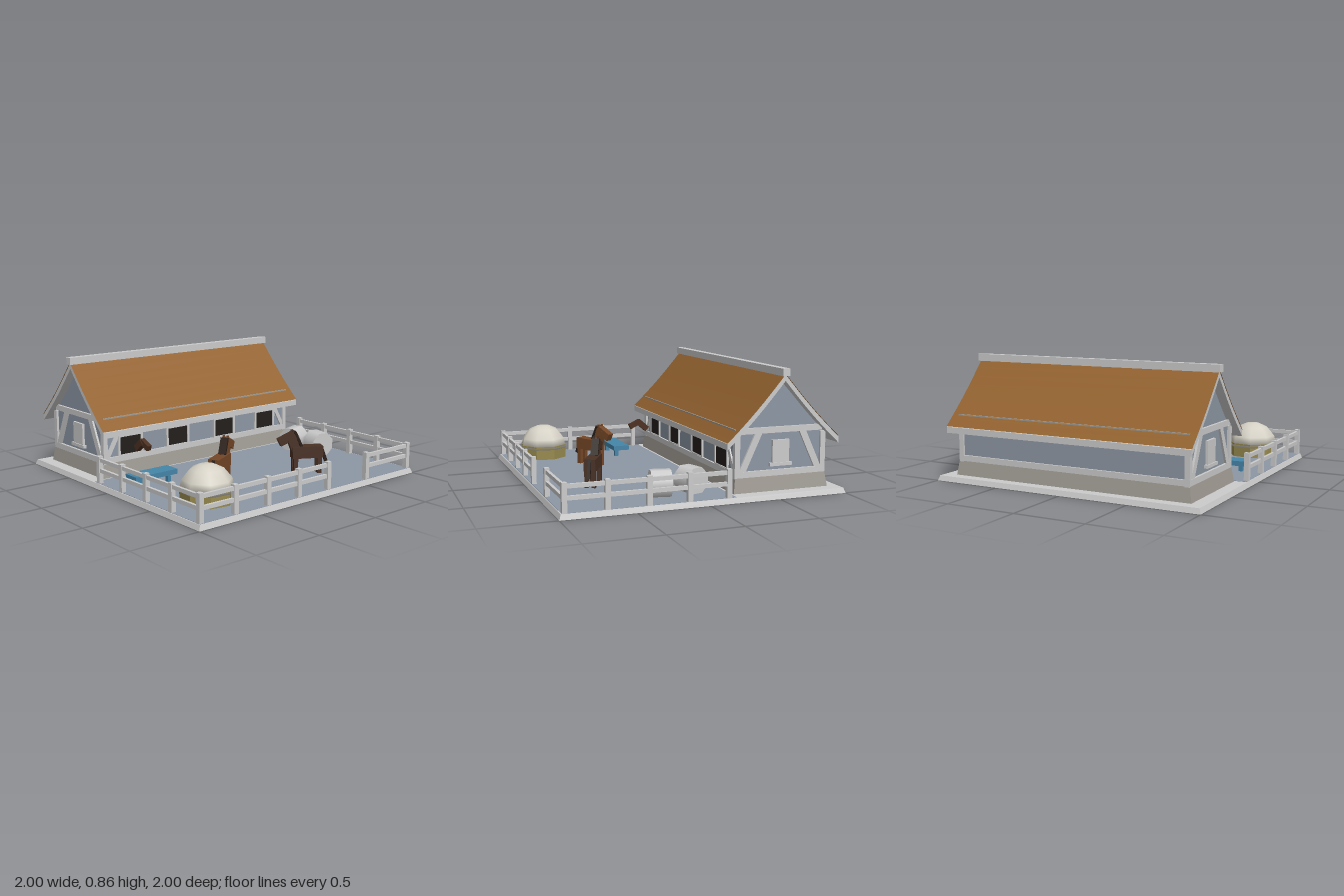
import * as THREE from 'three';

const material = (color, extra = {}) => new THREE.MeshStandardMaterial({ color, ...extra });
const GREY = material(0xcccccc);
const STONE = material(0xa19c95);
const PLASTER = material(0x8d97a4);
const THATCH = material(0x946330, { side: THREE.DoubleSide });
const DARK = material(0x241f1c);
const WATER = material(0x4585a8);
const STRAW = material(0x9a8c50, { flatShading: true });
const COVER = material(0xd6d2c6);
const RIDGE_Z = -0.56;

function add(parent, name, geometry, mat, x = 0, y = 0, z = 0) {
  const mesh = new THREE.Mesh(geometry, mat);
  mesh.name = name;
  mesh.position.set(x, y, z);
  parent.add(mesh);
  return mesh;
}

function box(parent, name, size, pos, mat = GREY) {
  return add(parent, name, new THREE.BoxGeometry(...size), mat, ...pos);
}

// Box running from a to b, w wide along x and d deep along z
function beam(parent, name, a, b, w, d, mat = GREY) {
  const start = new THREE.Vector3(...a);
  const dir = new THREE.Vector3(...b).sub(start);
  const mesh = box(parent, name, [w, dir.length(), d], [0, 0, 0], mat);
  mesh.position.copy(start).addScaledVector(dir, 0.5);
  mesh.quaternion.setFromUnitVectors(new THREE.Vector3(0, 1, 0), dir.normalize());
  return mesh;
}

// Box whose top is drawn in by inset on every side
function taperedBox(w, h, d, inset) {
  const g = new THREE.BoxGeometry(w, h, d);
  const p = g.attributes.position;
  for (let i = 0; i < p.count; i++) {
    if (p.getY(i) > 0) {
      p.setX(i, p.getX(i) - Math.sign(p.getX(i)) * inset);
      p.setZ(i, p.getZ(i) - Math.sign(p.getZ(i)) * inset);
    }
  }
  g.computeVertexNormals();
  return g;
}

// Outline in (z, y) stretched along x
function crossSection(points, length) {
  const shape = new THREE.Shape(points.map(([z, y]) => new THREE.Vector2(z, y)));
  const g = new THREE.ExtrudeGeometry(shape, { depth: length, bevelEnabled: false });
  return g.translate(0, 0, -length / 2).rotateY(-Math.PI / 2);
}

// Roof height at distance d from the ridge, slightly hollow
const roofY = (d) => 0.819 - 1.055 * d - 0.015 * Math.sin((d / 0.415) * Math.PI);

function buildRoof() {
  const roof = new THREE.Group();
  roof.name = 'roof';
  roof.position.z = RIDGE_Z;
  const steps = Array.from({ length: 9 }, (_, i) => (i / 8) * 0.415);
  const right = steps.map((d) => [d, roofY(d)]);
  const left = steps.slice(1).reverse().map((d) => [-d, roofY(d)]);
  const upper = [...left, ...right];
  const lower = upper.map(([z, y]) => [z, y - 0.042]).reverse();
  add(roof, 'roofBoards', crossSection([...upper, ...lower], 1.855), GREY);

  for (const side of [1, -1]) {
    // Thatch sheet over each slope
    const sheet = new THREE.PlaneGeometry(1.86, 1, 1, 8);
    const p = sheet.attributes.position;
    for (let i = 0; i < p.count; i++) {
      const d = (0.5 - p.getY(i)) * 0.415;
      p.setXYZ(i, p.getX(i), roofY(d) + 0.004, d);
    }
    sheet.computeVertexNormals();
    add(roof, 'thatch', sheet, THATCH).rotation.y = side > 0 ? 0 : Math.PI;
    box(roof, 'thatchPole', [1.76, 0.01, 0.01], [0, roofY(0.337) + 0.004, side * 0.337], STONE);
  }
  box(roof, 'ridgeCap', [1.885, 0.05, 0.052], [0, 0.835, 0]);
  return roof;
}

function buildStable() {
  const stable = new THREE.Group();
  stable.name = 'stable';
  stable.position.z = RIDGE_Z;
  add(stable, 'plinth', taperedBox(1.8, 0.105, 0.706, 0.015), STONE, 0, 0.0825, 0);
  const wall = [[-0.325, 0.13], [0.325, 0.13], [0.325, 0.42], [0, 0.77], [-0.325, 0.42]];
  add(stable, 'walls', crossSection(wall, 1.73), PLASTER);

  for (const side of [1, -1]) {
    // Long wall timbers
    box(stable, 'sillBeam', [1.765, 0.04, 0.03], [0, 0.155, side * 0.325]);
    box(stable, 'wallPlate', [1.765, 0.035, 0.03], [0, 0.395, side * 0.325]);
    // Gable timbers
    const x = side * 0.868;
    box(stable, 'gableSill', [0.03, 0.04, 0.68], [x, 0.155, 0]);
    box(stable, 'tieBeam', [0.03, 0.04, 0.62], [x, 0.447, 0]);
    box(stable, 'shutter', [0.03, 0.155, 0.125], [x, 0.3, 0]);
    box(stable, 'windowSill', [0.045, 0.022, 0.165], [x, 0.212, 0]);
    for (const end of [1, -1]) {
      box(stable, 'cornerPost', [0.035, 0.29, 0.038], [side * 0.865, 0.275, end * 0.321]);
      beam(stable, 'gableBrace', [x, 0.165, end * 0.288], [x, 0.44, end * 0.16], 0.024, 0.046);
    }
    beam(stable, 'frontBrace', [side * 0.85, 0.17, 0.325], [side * 0.72, 0.4, 0.325], 0.032, 0.022);
  }

  // Framed stall openings
  for (const x of [-0.65, -0.225, 0.225, 0.65]) {
    box(stable, 'stallOpening', [0.18, 0.13, 0.01], [x, 0.245, 0.325], DARK);
    for (const s of [1, -1]) {
      box(stable, 'openingJamb', [0.018, 0.165, 0.026], [x + s * 0.098, 0.25, 0.325]);
      box(stable, 'openingRail', [0.18, 0.018, 0.026], [x, 0.245 + s * 0.073, 0.325]);
    }
  }
  return stable;
}

// One straight run of posts with two rails, along x or z
function buildFence(posts) {
  const fence = new THREE.Group();
  fence.name = 'fence';
  for (const [x, z] of posts) box(fence, 'fencePost', [0.034, 0.195, 0.034], [x, 0.13, z]);
  const [a, b] = [posts[0], posts[posts.length - 1]];
  for (const y of [0.128, 0.203]) {
    const size = [Math.abs(b[0] - a[0]) || 0.02, 0.027, Math.abs(b[1] - a[1]) || 0.02];
    box(fence, 'fenceRail', size, [(a[0] + b[0]) / 2, y, (a[1] + b[1]) / 2]);
  }
  return fence;
}

// Horse facing its local +x
function buildHorse(color, x, z, turn) {
  const horse = new THREE.Group();
  horse.name = 'horse';
  horse.position.set(x, 0, z);
  horse.rotation.y = turn;
  const coat = material(color);
  const mane = material(0x2a1e18);
  box(horse, 'body', [0.225, 0.085, 0.08], [0, 0.193, 0], coat);
  for (const lx of [-0.088, 0.088]) {
    for (const lz of [-0.025, 0.025]) box(horse, 'leg', [0.032, 0.125, 0.028], [lx, 0.0925, lz], coat);
  }
  beam(horse, 'neck', [0.075, 0.19, 0], [0.125, 0.32, 0], 0.065, 0.05, coat);
  beam(horse, 'mane', [0.042, 0.235, 0], [0.092, 0.342, 0], 0.018, 0.054, mane);
  beam(horse, 'head', [0.095, 0.322, 0], [0.207, 0.267, 0], 0.056, 0.048, coat);
  for (const ez of [-0.015, 0.015]) box(horse, 'ear', [0.014, 0.026, 0.012], [0.108, 0.342, ez], coat);
  beam(horse, 'tail', [-0.105, 0.23, 0], [-0.147, 0.11, 0], 0.022, 0.022, mane);
  return horse;
}

export function createModel() {
  const model = new THREE.Group();
  model.name = 'horseStable';
  add(model, 'base', taperedBox(2, 0.035, 2, 0.012), GREY, 0, 0.0175, 0);
  box(model, 'paddockGround', [1.96, 0.004, 1.17], [0, 0.035, 0.395], PLASTER);
  model.add(buildStable(), buildRoof());

  // Paddock fence with a gap at the front
  const zs = [-0.14, 0.135, 0.41, 0.685, 0.962];
  const xs = [-0.967, -0.69, -0.415, -0.14, 0.137];
  for (const side of [1, -1]) model.add(buildFence(zs.map((z) => [side * 0.967, z])));
  model.add(buildFence(xs.map((x) => [x, 0.962])));
  model.add(buildFence([0.523, 0.967].map((x) => [x, 0.962])));

  // Horses, one looking out of its stall
  model.add(buildHorse(0x754727, -0.35, 0.41, 0.49));
  model.add(buildHorse(0x4a3226, 0.315, 0.585, 2.64));
  const coat = material(0x4c3020);
  beam(model, 'stallHorseNeck', [-0.645, 0.23, -0.15], [-0.645, 0.295, -0.075], 0.042, 0.045, coat);
  beam(model, 'stallHorseHead', [-0.645, 0.293, -0.09], [-0.645, 0.255, -0.005], 0.034, 0.04, coat);

  // Shallow water trough on two feet
  box(model, 'waterTrough', [0.35, 0.035, 0.125], [-0.703, 0.107, 0.103], WATER);
  for (const x of [-0.82, -0.585]) box(model, 'troughFoot', [0.025, 0.06, 0.03], [x, 0.062, 0.13], WATER);

  // Haystack with a pale cover
  const stack = new THREE.Group();
  stack.name = 'haystack';
  stack.position.set(-0.695, 0, 0.695);
  add(stack, 'hay', new THREE.CylinderGeometry(0.18, 0.176, 0.1, 8), STRAW, 0, 0.105, 0);
  const cover = [[0, 0.13], [0.183, 0.13], [0.165, 0.205], [0.11, 0.272], [0.05, 0.298], [0, 0.302]];
  add(stack, 'cover', new THREE.LatheGeometry(cover.map((p) => new THREE.Vector2(...p)), 8), COVER);
  stack.rotation.y = 0.25;
  model.add(stack);

  // Round bales lying on their sides
  const bale = new THREE.CylinderGeometry(0.096, 0.096, 0.137, 8).rotateY(Math.PI / 8).rotateX(Math.PI / 2);
  add(model, 'roundBale', bale, GREY, 0.735, 0.122, 0.03).rotation.y = Math.PI / 2 + 0.296;
  add(model, 'roundBale', bale, GREY, 0.767, 0.122, 0.262).rotation.y = -0.19;
  return model;
}
